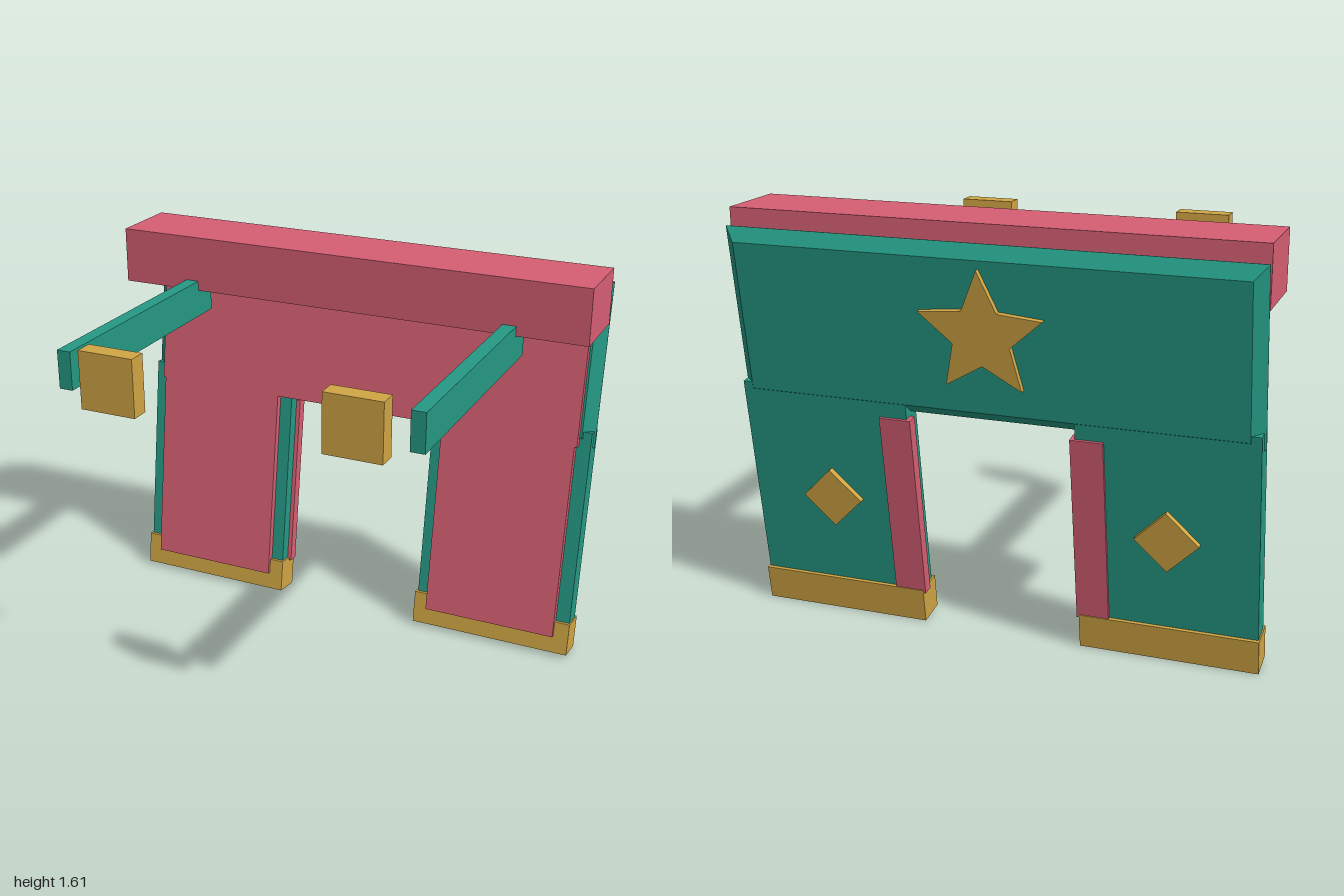
import * as THREE from 'three';

export function createModel() {
  const model = new THREE.Group();
  const mat = (name, color) => new THREE.MeshStandardMaterial({ name, color });
  const pink = mat('rose', 0xd65f73);
  const teal = mat('teal', 0x259984);
  const gold = mat('gold', 0xd0a544);

  const add = (parent, name, geometry, material) => {
    const mesh = new THREE.Mesh(geometry, material);
    mesh.name = name;
    parent.add(mesh);
    return mesh;
  };
  // Box given by its lower and upper limits on each axis
  const box = (parent, name, material, [x0, x1], [y0, y1], [z0, z1]) => {
    const mesh = add(parent, name, new THREE.BoxGeometry(x1 - x0, y1 - y0, z1 - z0), material);
    mesh.position.set((x0 + x1) / 2, (y0 + y1) / 2, (z0 + z1) / 2);
    return mesh;
  };
  const shapeOf = pts => new THREE.Shape(pts.map(p => new THREE.Vector2(...p)));
  const plate = (pts, depth) => new THREE.ExtrudeGeometry(shapeOf(pts), { depth, bevelEnabled: false });
  const span = (s, a, b) => (s > 0 ? [a, b] : [-b, -a]);

  // Leaning body: everything in this group tilts backwards
  const body = new THREE.Group();
  body.name = 'leaningBody';
  body.position.set(0, 0.009, -0.423);
  body.rotation.x = -THREE.MathUtils.degToRad(8);
  model.add(body);

  // Front lining with a gap between the two legs
  const lining = add(body, 'frontLining', plate([
    [-0.935, 0.073], [-0.378, 0.073], [-0.378, 0.895], [0.375, 0.895], [0.375, 0.073],
    [0.935, 0.073], [0.935, 0.895], [0.945, 0.895], [0.945, 1.47], [-0.945, 1.47],
    [-0.945, 0.895], [-0.935, 0.895],
  ], 0.033), pink);
  lining.position.z = 0.04;

  // Upper back panel, chamfered all round to a central ridge
  const panel = add(body, 'upperPanel', new THREE.ExtrudeGeometry(
    shapeOf([[-0.954, 0.93], [0.954, 0.93], [0.954, 1.512], [-0.954, 1.512]]),
    { depth: 0.002, bevelSize: 0.046, bevelThickness: 0.045, bevelSegments: 1 }), teal);
  panel.position.z = -0.001;

  // Star on the back panel
  const starPts = Array.from({ length: 10 }, (_, i) => {
    const r = i % 2 ? 0.113 : 0.245;
    const a = Math.PI / 2 + i * Math.PI / 5;
    return [r * Math.cos(a), r * Math.sin(a)];
  });
  add(body, 'backStar', plate(starPts, 0.03), gold).position.set(0, 1.238, -0.067);

  for (const s of [1, -1]) {
    const side = s > 0 ? 'left' : 'right';
    // Leg panel, foot band and inner trim
    box(body, side + 'Leg', teal, span(s, 0.325, 0.993), [0.05, 0.955], [-0.044, 0.042]);
    box(body, side + 'FootBand', gold, span(s, 0.317, 0.998), [0, 0.137], [-0.058, 0.058]);
    box(body, side + 'InnerTrim', pink, span(s, 0.308, 0.432), [0.125, 0.868], [-0.055, -0.01]);
    // Diamond on the back of the leg
    const diamond = box(body, side + 'Diamond', gold, [-0.085, 0.085], [-0.085, 0.085], [-0.066, -0.036]);
    diamond.position.x = s * 0.66;
    diamond.position.y = 0.505;
    diamond.rotation.z = Math.PI / 4;
    // Forward arms and the gold blocks at their ends
    box(model, side + 'Arm', teal, span(s, 0.66, 0.715), [1.28, 1.43], [-0.418, 0.645]);
    box(model, side + 'EndBlock', gold, span(s, 0.365, 0.588), [1.24, 1.465], [0.627, 0.7]);
  }

  // Top beam
  box(model, 'topBeam', pink, [-1, 1], [1.39, 1.615], [-0.607, -0.31]);

  return model;
}
